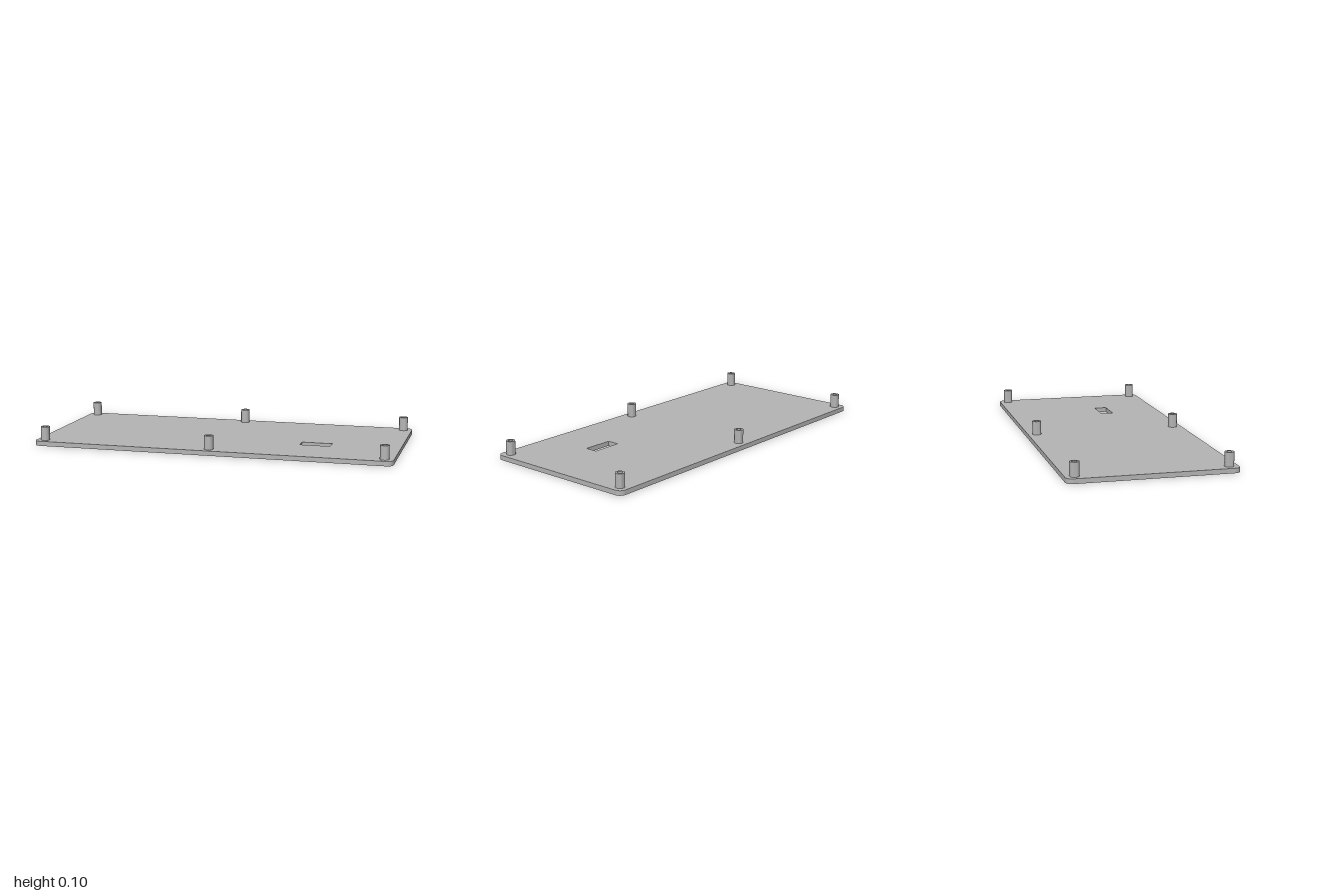
import * as THREE from 'three';
import { toCreasedNormals } from 'three/addons/utils/BufferGeometryUtils.js';

const W = 2, D = 0.9, T = 0.026, CORNER = 0.035;   // plate
const POST_TOP = 0.102, POST_R = 0.025, BORE_R = 0.0135;
const SINK_R = 0.027, FOOT_R = 0.031, DEPTH = 0.013; // underside recesses
const SEG = 16;
const posts = [-0.95, 0, 0.95].flatMap(x => [[x, -0.4], [x, 0.4]]);
const feet = [-0.69, 0.69].flatMap(x => [[x, -0.225], [x, 0.225]]);

// Rounded plate outline, counter-clockwise
function outline() {
  const s = new THREE.Shape(), x = W / 2 - CORNER, y = D / 2 - CORNER;
  s.absarc(x, y, CORNER, 0, Math.PI / 2);
  s.absarc(-x, y, CORNER, Math.PI / 2, Math.PI);
  s.absarc(-x, -y, CORNER, Math.PI, Math.PI * 1.5);
  s.absarc(x, -y, CORNER, Math.PI * 1.5, Math.PI * 2);
  s.closePath();
  return s;
}

// Rectangular slot, clockwise; side flips it for the underside
function slot(side) {
  const pts = [[0.45, -0.16], [0.45, -0.09], [0.62, -0.09], [0.62, -0.16]];
  return pts.map(([x, y]) => new THREE.Vector2(x, y * side));
}

// Flat face with the slot and round holes [x, z, radius]
function face(side, holes) {
  const s = outline();
  s.holes.push(new THREE.Path(slot(side)));
  for (const [x, z, r] of holes) {
    s.holes.push(new THREE.Path().absarc(x, -z * side, r, 0, Math.PI * 2, true));
  }
  return new THREE.ShapeGeometry(s, SEG).rotateX(-side * Math.PI / 2);
}

// Vertical band along a closed loop of points
function wall(pts) {
  const pos = [];
  pts.forEach((a, i) => {
    const b = pts[(i + 1) % pts.length];
    if (a.distanceTo(b) < 1e-6) return;
    pos.push(a.x, 0, -a.y, b.x, 0, -b.y, b.x, T, -b.y);
    pos.push(a.x, 0, -a.y, b.x, T, -b.y, a.x, T, -a.y);
  });
  const g = new THREE.BufferGeometry();
  g.setAttribute('position', new THREE.Float32BufferAttribute(pos, 3));
  return toCreasedNormals(g, 0.6);
}

function lathe(profile) {
  const pts = profile.map(([r, y]) => new THREE.Vector2(r, y));
  return toCreasedNormals(new THREE.LatheGeometry(pts, SEG * 2), 0.6);
}

export function createModel() {
  const model = new THREE.Group();
  model.name = 'coverPlate';
  const grey = new THREE.MeshStandardMaterial({ color: 0xb4b4b4 });
  grey.name = 'grey';

  const add = (name, geometry, x = 0, y = 0, z = 0) => {
    const mesh = new THREE.Mesh(geometry, grey);
    mesh.name = name;
    mesh.position.set(x, y, z);
    model.add(mesh);
  };

  // Plate
  add('plateTop', face(1, posts.map(([x, z]) => [x, z, BORE_R])), 0, T);
  add('plateUnderside', face(-1, [
    ...posts.map(([x, z]) => [x, z, SINK_R]),
    ...feet.map(([x, z]) => [x, z, FOOT_R]),
  ]));
  add('plateEdge', wall(outline().getPoints(SEG)));
  add('slotWalls', wall(slot(1)));

  // Hollow standoffs, each with its bore and screw-head recess
  const post = lathe([[POST_R, T], [POST_R, POST_TOP], [BORE_R, POST_TOP],
    [BORE_R, DEPTH], [SINK_R, DEPTH], [SINK_R, 0]]);
  for (const [x, z] of posts) add('standoff', post, x, 0, z);

  // Shallow round foot recesses under the plate
  const recess = lathe([[0, DEPTH], [FOOT_R, DEPTH], [FOOT_R, 0]]);
  for (const [x, z] of feet) add('footRecess', recess, x, 0, z);

  return model;
}
